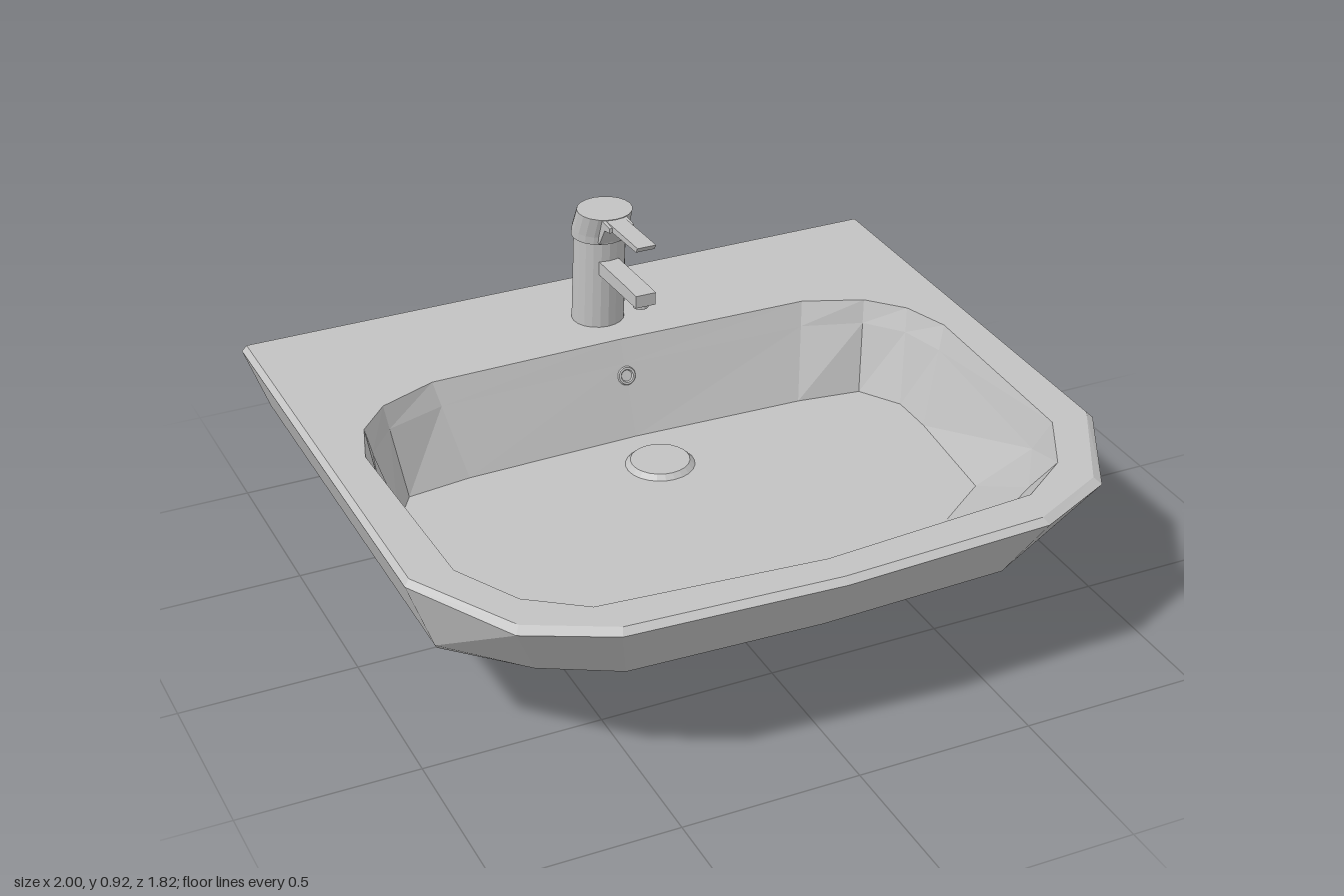
import * as THREE from 'three';

const ceramic = new THREE.MeshStandardMaterial({ color: 0xc2c2c2 });
ceramic.name = 'light grey';

// Give every face its own flat normal
function faceted(geometry) {
  const g = geometry.index ? geometry.toNonIndexed() : geometry;
  g.computeVertexNormals();
  return g;
}

function part(name, geometry, parent) {
  const mesh = new THREE.Mesh(faceted(geometry), ceramic);
  mesh.name = name;
  parent.add(mesh);
  return mesh;
}

// Complete a half outline of [x, z, y] points, running back to front on the +x side
function ring(half, y) {
  const right = half.map(([x, z, py = y]) => new THREE.Vector3(x, py, z));
  const left = right.filter(p => p.x > 0).reverse().map(p => new THREE.Vector3(-p.x, p.y, p.z));
  return right.concat(left);
}

// Skin between closed rings; listed top to bottom it faces outward
function loft(rings) {
  const pos = [], idx = [], n = rings[0].length;
  rings.forEach(r => r.forEach(p => pos.push(p.x, p.y, p.z)));
  for (let r = 0; r < rings.length - 1; r++) {
    for (let k = 0; k < n; k++) {
      const a = r * n + k, b = r * n + (k + 1) % n;
      idx.push(a, b, b + n, a, b + n, a + n);
    }
  }
  const g = new THREE.BufferGeometry();
  g.setAttribute('position', new THREE.Float32BufferAttribute(pos, 3));
  g.setIndex(idx);
  return g;
}

// Flat horizontal face, with an optional hole
function plate(outline, y, up = true, hole) {
  const s = up ? -1 : 1;
  const flat = r => r.map(p => new THREE.Vector2(p.x, s * p.z));
  const shape = new THREE.Shape(flat(outline));
  if (hole) shape.holes.push(new THREE.Path(flat(hole)));
  return new THREE.ShapeGeometry(shape).rotateX(s * Math.PI / 2).translate(0, y, 0);
}

// Cylinder whose ends lie level at y0 and y1 but are centred on different z
function leaning(r0, r1, y0, y1, z0, z1, sides = 20) {
  const h = y1 - y0;
  const g = new THREE.CylinderGeometry(r1, r0, h, sides).translate(0, h / 2, 0);
  const p = g.attributes.position;
  for (let i = 0; i < p.count; i++) {
    const t = p.getY(i) / h;
    p.setXYZ(i, p.getX(i), p.getY(i) + y0, p.getZ(i) + z0 + (z1 - z0) * t);
  }
  return g;
}

// Side profile of [z, y] points extruded across x
function profile(points, width) {
  const shape = new THREE.Shape(points.map(([z, y]) => new THREE.Vector2(-z, y)));
  return new THREE.ExtrudeGeometry(shape, { depth: width, bevelEnabled: false })
    .translate(0, 0, -width / 2).rotateY(Math.PI / 2);
}

export function createModel() {
  const model = new THREE.Group();
  model.name = 'washbasin';

  // Outer shell, from the rim down to the narrow back foot
  const shell = [
    ring([[0.985, -0.91], [0.985, 0.44], [0.815, 0.745], [0.59, 0.86], [0, 0.89]], 0.54),
    ring([[1, -0.91], [1, 0.45], [0.83, 0.765], [0.6, 0.88], [0, 0.91]], 0.525),
    ring([[0.93, -0.91], [0.93, 0.45], [0.74, 0.65], [0.54, 0.76], [0, 0.78]], 0.33),
    ring([[0.915, -0.91], [0.915, 0.42], [0.72, 0.61], [0.5, 0.71], [0, 0.73]], 0.3),
    ring([[0.84, -0.91], [0.78, 0.02], [0.64, 0.2], [0.42, 0.28], [0, 0.3]], 0.152),
    ring([[0.82, -0.91], [0.82, -0.2], [0.6, -0.2], [0.36, -0.2], [0, -0.2]], 0.11),
    ring([[0.71, -0.91], [0.71, -0.74], [0.53, -0.74], [0.32, -0.74], [0, -0.74]], 0),
  ];
  part('outerShell', loft(shell), model);
  part('underside', plate(shell[6], 0, false), model);

  // Bowl: opening, rounded shoulder and floor
  const opening = ring([[0, -0.49], [0.58, -0.48], [0.75, -0.41], [0.84, -0.31], [0.885, -0.17],
    [0.87, 0.45], [0.77, 0.64], [0.62, 0.75], [0, 0.8]], 0.54);
  const floor = ring([[0, -0.39], [0.52, -0.375], [0.71, -0.35], [0.785, -0.23], [0.785, -0.09],
    [0.75, 0.27], [0.59, 0.39], [0.48, 0.44], [0, 0.51]], 0.27);
  const shoulder = opening.map((p, i) => {
    const q = p.clone().lerp(floor[i], 0.25);
    q.y = p.z > 0.3 ? 0.44 : q.y;
    return q;
  });
  part('rim', plate(shell[0], 0.54, true, opening), model);
  part('bowlWall', loft([floor, shoulder, opening]), model);
  part('bowlFloor', plate(floor, 0.27), model);

  // Drain cover and overflow ring
  part('drainCover', new THREE.CylinderGeometry(0.085, 0.1, 0.015, 24).translate(0, 0.277, -0.22), model);
  const overflow = part('overflowRing', new THREE.TorusGeometry(0.022, 0.006, 6, 16), model);
  overflow.position.set(0, 0.44, -0.45);
  overflow.rotation.x = -0.35;

  // Mixer tap
  const tap = new THREE.Group();
  tap.name = 'tap';
  model.add(tap);
  part('tapBody', leaning(0.077, 0.075, 0.535, 0.82, -0.655, -0.63), tap);
  part('tapCapLower', leaning(0.083, 0.083, 0.82, 0.845, -0.628, -0.622), tap);
  part('tapCap', leaning(0.083, 0.08, 0.845, 0.912, -0.622, -0.59), tap);

  // Lever: wide root under the cap edge, thin blade towards the tip
  part('leverRoot', profile([[-0.56, 0.83], [-0.545, 0.825], [-0.505, 0.885], [-0.47, 0.893],
    [-0.47, 0.907], [-0.56, 0.911]], 0.075), tap);
  part('leverBlade', profile([[-0.53, 0.89], [-0.48, 0.892], [-0.31, 0.903], [-0.3, 0.919],
    [-0.32, 0.919], [-0.53, 0.909]], 0.056), tap);

  // Spout with a small outlet below its tip
  part('spout', profile([[-0.6, 0.715], [-0.37, 0.727], [-0.31, 0.73], [-0.308, 0.768],
    [-0.35, 0.768], [-0.6, 0.758]], 0.06), tap);
  part('spoutOutlet', new THREE.CylinderGeometry(0.022, 0.022, 0.02, 14).translate(0, 0.724, -0.345), tap);

  return model;
}
